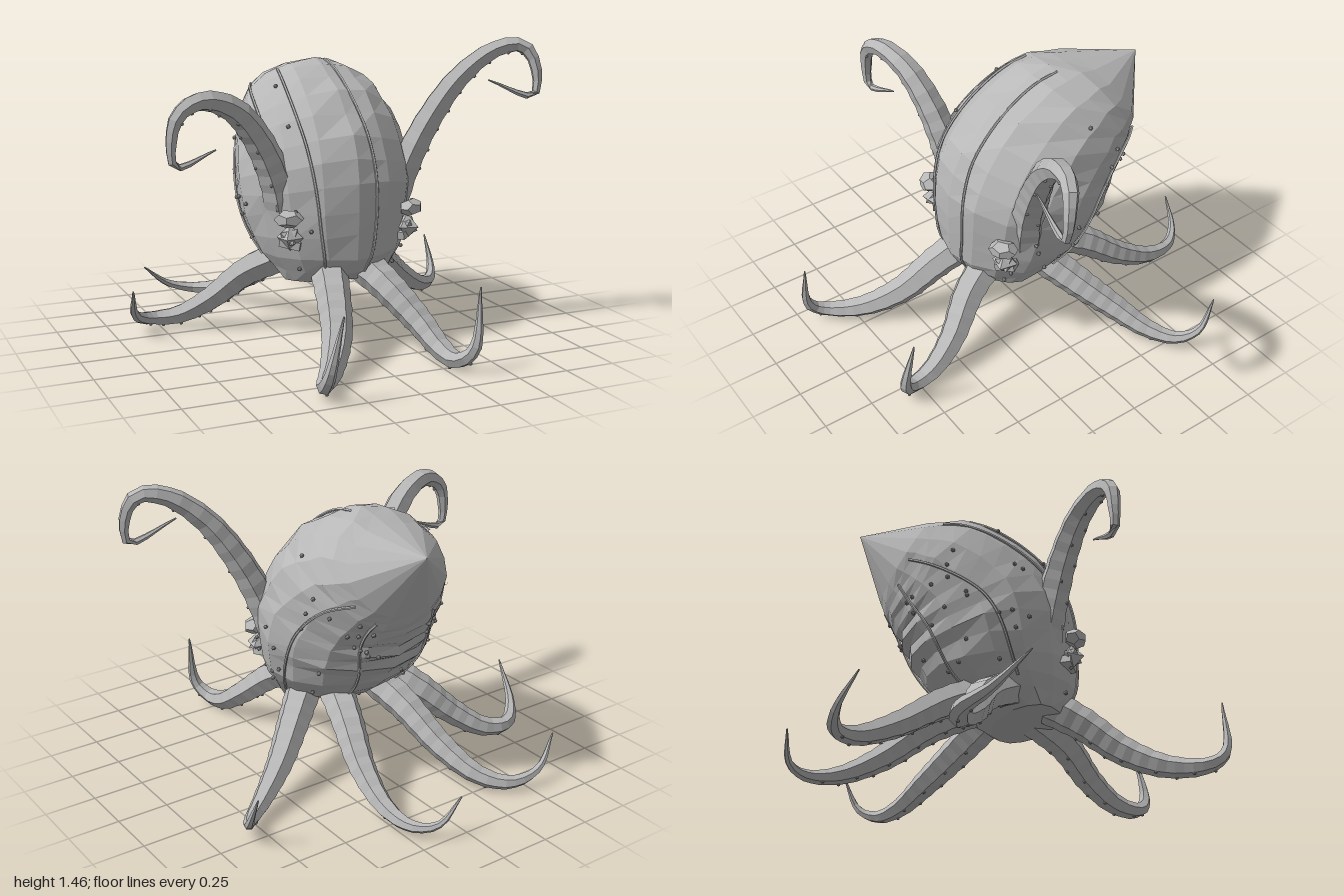
import * as THREE from 'three';
import { mergeGeometries } from 'three/addons/utils/BufferGeometryUtils.js';

const V = (x, y, z) => new THREE.Vector3(x, y, z);
const spline = pts => new THREE.CatmullRomCurve3(pts.map(p => V(...p)));

// small seeded noise in -1..1
let seed = 7;
const rnd = () => {
  seed = (seed * 16807) % 2147483647;
  return (seed / 2147483647) * 2 - 1;
};

// skin a list of equal-sized loops, closing both ends
function loft(rings) {
  const n = rings[0].length, pos = [], index = [];
  rings.forEach(r => r.forEach(p => pos.push(p.x, p.y, p.z)));
  for (let i = 0; i < rings.length - 1; i++)
    for (let j = 0; j < n; j++) {
      const a = i * n + j, b = i * n + (j + 1) % n;
      index.push(a, b, b + n, a, b + n, a + n);
    }
  const last = (rings.length - 1) * n;
  for (let j = 1; j < n - 1; j++) {
    index.push(0, j + 1, j);
    index.push(last, last + j, last + j + 1);
  }
  const g = new THREE.BufferGeometry();
  g.setAttribute('position', new THREE.Float32BufferAttribute(pos, 3));
  g.setIndex(index);
  const flat = g.toNonIndexed();
  flat.computeVertexNormals();
  return flat;
}

// mantle sections: front z, front y, back z, back y, half width
const SECTIONS = [
  [0.28, 0.33, -0.04, 0.31, 0.26], [0.355, 0.43, -0.27, 0.43, 0.34],
  [0.37, 0.62, -0.38, 0.54, 0.41], [0.36, 0.83, -0.44, 0.63, 0.435],
  [0.29, 1.02, -0.475, 0.70, 0.43], [0.125, 1.19, -0.505, 0.76, 0.405],
  [-0.06, 1.30, -0.535, 0.82, 0.37], [-0.22, 1.335, -0.56, 0.87, 0.33],
  [-0.38, 1.31, -0.59, 0.93, 0.27],
];
const frontLine = spline(SECTIONS.map(s => [0, s[1], s[0]]));
const backLine = spline(SECTIONS.map(s => [0, s[3], s[2]]));
const widthLine = spline(SECTIONS.map((s, i) => [s[4], i * 0.1, 0]));

// point on the mantle: t runs base to crown, a runs from the front towards +x
function mantlePoint(t, a, grow = 0) {
  const f = frontLine.getPoint(t), b = backLine.getPoint(t);
  const centre = f.clone().add(b).multiplyScalar(0.5);
  const half = f.sub(b).multiplyScalar(0.5);
  const w = widthLine.getPoint(t).x;
  return centre.addScaledVector(half, Math.cos(a) * (1 + grow / half.length()))
    .add(V(Math.sin(a) * (w + grow) - 0.01 + 0.03 * t, 0, 0));
}

function mantleGeometry() {
  const sides = 16, rows = 14, rings = [];
  for (let i = 0; i <= rows; i++) {
    const ring = [];
    for (let j = 0; j < sides; j++) {
      const a = (j / sides) * Math.PI * 2;
      const back = Math.max(0, -Math.cos(a));
      const crease = (i % 2 ? 0.008 : -0.008) * back * (i < 9 ? 1 : 0);
      const p = mantlePoint(i / rows, a, crease + rnd() * 0.006);
      p.y += i > 0 && i < rows ? rnd() * 0.01 : 0;
      ring.push(p);
    }
    rings.push(ring);
  }
  // pointed crown
  rings.push(Array.from({ length: sides }, () => V(0.04, 1.25, -0.71)));
  return loft(rings);
}

// tentacle along a curve, with suckers beneath it
function tentacleGeometry(points, root) {
  const curve = spline(points), steps = 30, sides = 6, rings = [], parts = [];
  const radii = spline([[root, 0, 0], [root * 0.88, 1, 0], [root * 0.73, 2, 0], [root * 0.52, 3, 0],
    [root * 0.27, 4, 0], [root * 0.04, 5, 0]]);
  let under = V(0, -1, 0);
  for (let i = 0; i <= steps; i++) {
    const t = i / steps, p = curve.getPointAt(t), dir = curve.getTangentAt(t);
    under = under.clone().addScaledVector(dir, -under.dot(dir)).normalize();
    const side = dir.clone().cross(under);
    const r = radii.getPoint(t).x * (i % 2 ? 1.03 : 0.98);
    rings.push(Array.from({ length: sides }, (_, j) => {
      const a = ((j + 0.5) / sides) * Math.PI * 2;
      return p.clone().addScaledVector(under, Math.cos(a) * r).addScaledVector(side, Math.sin(a) * r * 1.05);
    }));
    if (i > 4 && i < 23 && i % 2) {
      const s = i % 4 === 1 ? 0.4 : -0.4;
      const q = p.clone().addScaledVector(under, r * 0.87).addScaledVector(side, s * r);
      parts.push(stud(q, 0.009));
    }
  }
  return mergeGeometries([loft(rings), ...parts]);
}

function stud(p, r) {
  const g = new THREE.IcosahedronGeometry(r, 0).translate(p.x, p.y, p.z);
  g.deleteAttribute('uv');
  return g;
}

const ARMS = {
  frontRightTentacle: [[-0.09, 0.40, 0.20], [-0.135, 0.30, 0.37], [-0.195, 0.16, 0.55], [-0.30, 0.065, 0.73],
    [-0.405, 0.055, 0.89], [-0.415, 0.12, 0.965], [-0.36, 0.39, 0.99]],
  frontLeftTentacle: [[0.08, 0.40, 0.18], [0.15, 0.30, 0.37], [0.24, 0.16, 0.53], [0.28, 0.065, 0.67],
    [0.30, 0.045, 0.79], [0.345, 0.11, 0.86], [0.39, 0.39, 0.83]],
  backRightOuterTentacle: [[-0.20, 0.42, 0.0], [-0.36, 0.30, -0.17], [-0.52, 0.15, -0.27], [-0.66, 0.06, -0.355],
    [-0.79, 0.05, -0.38], [-0.90, 0.10, -0.29], [-0.955, 0.27, -0.13]],
  backLeftOuterTentacle: [[0.20, 0.42, 0.0], [0.36, 0.29, -0.12], [0.52, 0.17, -0.24], [0.68, 0.08, -0.34],
    [0.80, 0.06, -0.43], [0.86, 0.11, -0.52], [0.86, 0.27, -0.60]],
  backRightTentacle: [[-0.10, 0.43, -0.08], [-0.16, 0.32, -0.32], [-0.22, 0.17, -0.54], [-0.30, 0.07, -0.73],
    [-0.41, 0.045, -0.84], [-0.56, 0.08, -0.865], [-0.71, 0.20, -0.80]],
  backLeftTentacle: [[0.10, 0.43, -0.08], [0.17, 0.33, -0.30], [0.23, 0.17, -0.52], [0.245, 0.07, -0.72],
    [0.215, 0.045, -0.88], [0.14, 0.075, -0.97], [0.04, 0.20, -1.0]],
  raisedRightArm: [[-0.28, 0.60, 0.13], [-0.335, 0.82, 0.16], [-0.445, 1.04, 0.195], [-0.57, 1.175, 0.23],
    [-0.73, 1.225, 0.27], [-0.84, 1.17, 0.285], [-0.875, 1.06, 0.285], [-0.86, 0.94, 0.285], [-0.66, 1.0, 0.26]],
  raisedLeftArm: [[0.28, 0.58, 0.11], [0.35, 0.83, 0.15], [0.46, 1.07, 0.19], [0.60, 1.275, 0.24],
    [0.76, 1.40, 0.295], [0.88, 1.415, 0.34], [0.93, 1.33, 0.375], [0.92, 1.18, 0.39], [0.68, 1.26, 0.36]],
};

// seams over the mantle: start t, end t, start angle, end angle
const SEAMS = [
  [0.06, 0.86, 0.20, 0.18], [0.06, 0.84, -0.46, -0.58], [0.30, 0.92, -0.95, -1.1],
  [0.12, 0.95, 1.75, 2.1], [0.12, 0.95, -1.75, -2.1], [0.08, 0.9, 2.75, 2.6], [0.08, 0.9, -2.7, -2.6],
];

export function createModel() {
  const model = new THREE.Group();
  const skin = new THREE.MeshStandardMaterial({ color: 0xb8b8b8 });
  skin.name = 'grey skin';
  skin.flatShading = true;
  const add = (name, geometry, parent = model) => {
    const mesh = new THREE.Mesh(geometry, skin);
    mesh.name = name;
    parent.add(mesh);
    return mesh;
  };

  add('mantle', mantleGeometry());

  for (const [name, points] of Object.entries(ARMS))
    add(name, tentacleGeometry(points, name.startsWith('raised') ? 0.086 : 0.088));

  SEAMS.forEach(([t0, t1, a0, a1]) => {
    const pts = Array.from({ length: 10 }, (_, i) => {
      const k = i / 9;
      return mantlePoint(t0 + (t1 - t0) * k, a0 + (a1 - a0) * k + Math.sin(k * 6) * 0.04, 0.002);
    });
    add('seam', new THREE.TubeGeometry(new THREE.CatmullRomCurve3(pts), 30, 0.007, 5));
  });

  // scattered warts, mostly on the flanks and back
  const warts = [];
  for (let i = 0; i < 56; i++) {
    const a = (i % 2 ? 1 : -1) * (1.75 + rnd() * 1.3);
    warts.push(stud(mantlePoint(0.45 + rnd() * 0.4, a, 0.006), 0.011));
  }
  add('warts', mergeGeometries(warts));

  // faceted eyes with brows
  [-1, 1].forEach(s => {
    const eye = new THREE.Group();
    eye.name = s < 0 ? 'rightEye' : 'leftEye';
    eye.position.set(s * 0.305, 0.56, 0.26);
    eye.rotation.y = s * 0.6;
    eye.scale.setScalar(1.1);
    model.add(eye);
    add('eyeball', new THREE.OctahedronGeometry(0.058), eye);
    add('eyeSpikes', new THREE.OctahedronGeometry(0.052), eye).rotation.set(0.5, 0.4, 0.8);
    const brow = add('brow', new THREE.DodecahedronGeometry(0.055), eye);
    brow.position.set(0, 0.085, 0.02);
    brow.scale.set(1.2, 0.7, 0.9);
    const lid = add('lowerLid', new THREE.BoxGeometry(0.09, 0.035, 0.08), eye);
    lid.position.set(0, -0.03, -0.03);
    lid.rotation.z = s * 0.2;
  });

  return model;
}
